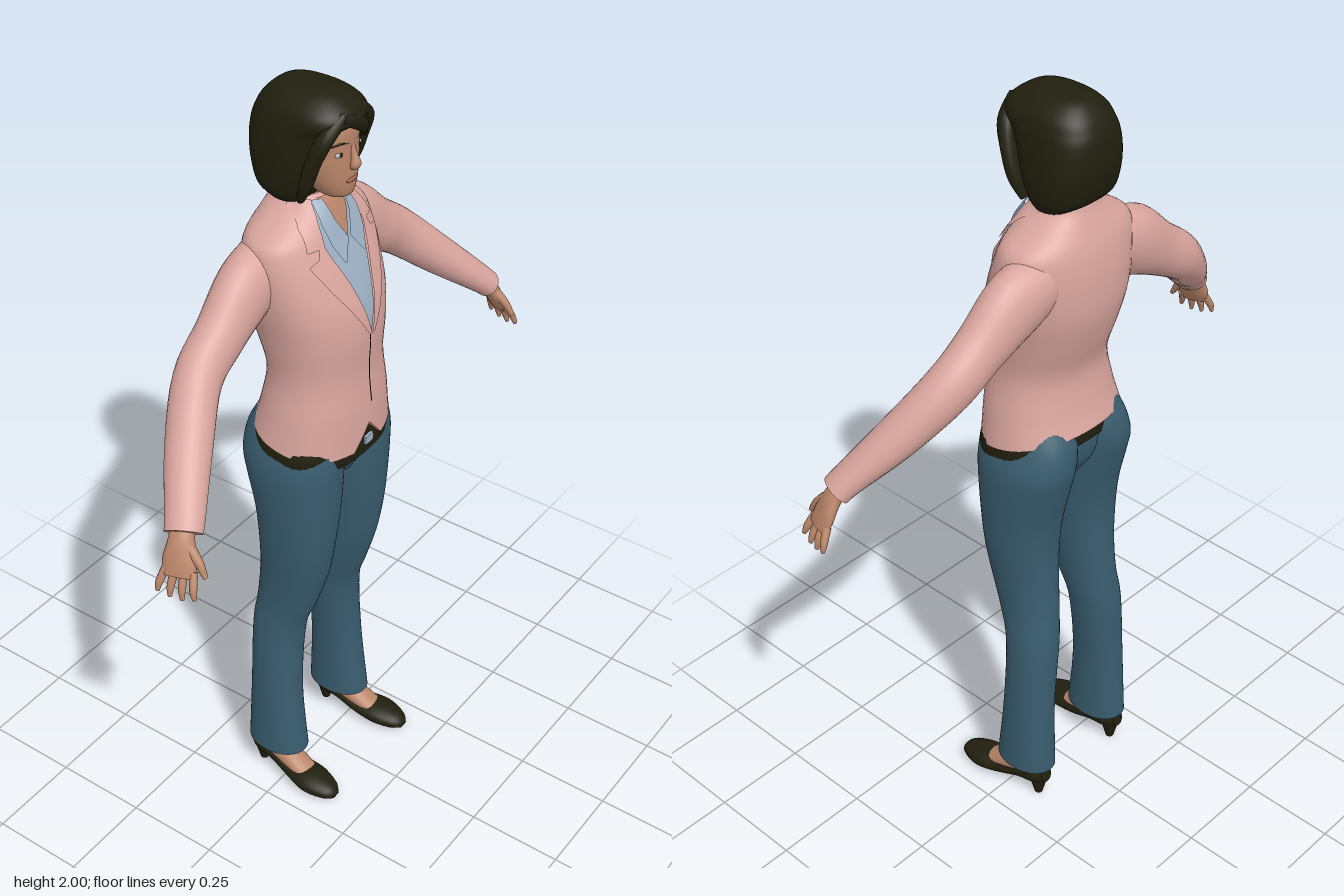
import * as THREE from 'three';

const mat = (name, color, side = THREE.FrontSide) => {
  const m = new THREE.MeshStandardMaterial({ color, side });
  m.name = name;
  return m;
};
const V = (x, y, z) => new THREE.Vector3(x, y, z);

// Catmull-Rom interpolation of every column in a table of cross-sections
function smooth(rows, k = 5) {
  const out = [], last = rows.length - 1;
  for (let i = 0; i < last; i++) {
    const a = rows[Math.max(i - 1, 0)], b = rows[i], c = rows[i + 1], d = rows[Math.min(i + 2, last)];
    for (let j = 0; j < k; j++) {
      const t = j / k;
      out.push(b.map((p, n) => {
        const cubic = 3 * (p - c[n]) + d[n] - a[n];
        const square = 2 * a[n] - 5 * p + 4 * c[n] - d[n];
        return p + 0.5 * t * (c[n] - a[n] + t * (square + t * cubic));
      }));
    }
  }
  out.push(rows[last]);
  return out;
}

// Skin closed rings of points into a capped, smooth surface
function skin(rings) {
  const n = rings[0].length, pos = [], idx = [];
  rings.forEach(r => r.forEach(p => pos.push(p.x, p.y, p.z)));
  for (let i = 0; i < rings.length - 1; i++) {
    for (let j = 0; j < n; j++) {
      const a = i * n + j, b = i * n + (j + 1) % n;
      idx.push(a, b, a + n, b, b + n, a + n);
    }
  }
  [rings[0], rings[rings.length - 1]].forEach((r, end) => {
    const base = pos.length / 3, c = V(0, 0, 0);
    r.forEach(p => { pos.push(p.x, p.y, p.z); c.addScaledVector(p, 1 / n); });
    pos.push(c.x, c.y, c.z);
    for (let j = 0; j < n; j++) {
      const a = base + j, b = base + (j + 1) % n;
      idx.push(base + n, end ? a : b, end ? b : a);
    }
  });
  return surface(pos, idx);
}

function surface(pos, idx) {
  const g = new THREE.BufferGeometry();
  g.setAttribute('position', new THREE.Float32BufferAttribute(pos, 3));
  g.setIndex(idx);
  g.computeVertexNormals();
  return g;
}

// Upright body from rows [y, centreX, halfWidth, frontZ, backZ]; e squares off the section
function body(rows, e = 2, move = p => p, n = 48) {
  const sp = v => Math.sign(v) * Math.abs(v) ** (2 / e);
  return skin(smooth(rows).map(([y, cx, rx, zf, zb]) => Array.from({ length: n }, (_, j) => {
    const a = j / n * Math.PI * 2;
    return move(V(cx + rx * sp(Math.sin(a)), y, (zf + zb) / 2 + (zf - zb) / 2 * sp(Math.cos(a))));
  })));
}

// Limb along a path of [x, y, z, thickness radius, sideways radius]; s mirrors it in x
function limb(rows, s = 1, n = 20) {
  const pts = smooth(rows), end = pts.length - 1, at = i => V(pts[i][0] * s, pts[i][1], pts[i][2]);
  const steep = Math.abs(at(end).sub(at(0)).normalize().y) > 0.9;
  return skin(pts.map((p, i) => {
    const T = at(Math.min(i + 1, end)).sub(at(Math.max(i - 1, 0))).normalize();
    const H = (steep ? V(0, 0, 1) : V(0, 1, 0)).cross(T).normalize();
    const U = T.clone().cross(H);
    return Array.from({ length: n }, (_, j) => {
      const a = j / n * Math.PI * 2;
      return at(i).addScaledVector(H, Math.cos(a) * p[4]).addScaledVector(U, Math.sin(a) * p[3]);
    });
  }));
}

const TORSO = [
  [1.12, 0, 0.188, 0.142, -0.138], [1.2, 0, 0.173, 0.139, -0.122], [1.3, 0, 0.156, 0.132, -0.108],
  [1.4, 0, 0.166, 0.137, -0.138], [1.48, 0, 0.18, 0.128, -0.158], [1.56, 0, 0.19, 0.1, -0.16],
  [1.62, 0, 0.19, 0.073, -0.153], [1.66, 0, 0.175, 0.056, -0.143], [1.695, 0, 0.122, 0.042, -0.13],
  [1.725, 0, 0.08, 0.028, -0.118], [1.745, 0, 0.068, 0.015, -0.112]];
const TORSO_FINE = smooth(TORSO), TORSO_E = 2.2;

// Depth of the chest at a given x, y
function chestZ(x, y) {
  const i = TORSO_FINE.findIndex(r => r[0] >= y), a = TORSO_FINE[i - 1], b = TORSO_FINE[i];
  const t = (y - a[0]) / (b[0] - a[0]);
  const [, , rx, zf, zb] = a.map((v, n) => v + (b[n] - v) * t);
  const q = (1 - Math.min(1, Math.abs(x) / rx) ** TORSO_E) ** (1 / TORSO_E);
  return (zf + zb) / 2 + (zf - zb) / 2 * q;
}

// Cloth panel lying on the chest, from rows [y, innerX, outerX] running downwards
function panel(rows, lift, s = 1, nx = 8, ny = 8) {
  const pos = [], idx = [];
  let r = 0;
  for (let i = 0; i < rows.length - 1; i++) {
    for (let j = i ? 1 : 0; j <= ny; j++, r++) {
      const [y, x0, x1] = rows[i].map((v, n) => v + (rows[i + 1][n] - v) * j / ny);
      for (let k = 0; k <= nx; k++) {
        const x = s * (x0 + (x1 - x0) * k / nx);
        pos.push(x, y, chestZ(x, y) + lift);
        if (r && k) {
          const d = r * (nx + 1) + k, c = d - 1, b = d - nx - 1, a = b - 1;
          idx.push(...(s > 0 ? [a, c, b, b, c, d] : [a, b, c, b, d, c]));
        }
      }
    }
  }
  return surface(pos, idx);
}

export function createModel() {
  const model = new THREE.Group();
  const jacket = mat('jacket pink', 0xd9a59e, THREE.DoubleSide), denim = mat('trouser blue', 0x395c6e);
  const dark = mat('dark brown', 0x211f0e, THREE.DoubleSide), flesh = mat('skin', 0xba8669, THREE.DoubleSide);
  const cloth = mat('shirt blue', 0x9cafc2, THREE.DoubleSide);
  const lip = mat('lip', 0x9c5f50), white = mat('eye', 0xb9c0c4);
  const add = (name, geo, m) => {
    const o = new THREE.Mesh(geo, m);
    o.name = name;
    model.add(o);
    return o;
  };
  const blob = (name, m, x, y, z, sx, sy, sz) =>
    add(name, new THREE.SphereGeometry(1, 16, 12).scale(sx, sy, sz), m).position.set(x, y, z);

  // Jacket, with a hem that is cut away at the centre front
  add('jacketBody', body(TORSO, TORSO_E, p => {
    const t = THREE.MathUtils.clamp((1.2 - p.y) / 0.08, 0, 1);
    const notch = p.z > 0.05 ? 0.065 * Math.max(0, 1 - Math.abs(p.x) / 0.055) : 0;
    p.y += t * (notch - p.z * 0.22);
    return p;
  }), jacket);
  add('jacketSeam', panel([[1.41, -0.001, 0.003], [1.21, 0.006, 0.01]], 0.003), dark);
  add('shirtFront', panel([[1.735, -0.055, 0.055], [1.66, -0.076, 0.076], [1.55, -0.042, 0.042], [1.41, -0.001, 0.003]], 0.004, 1, 20), cloth);
  add('throat', panel([[1.74, -0.04, 0.04], [1.7, -0.034, 0.034], [1.635, -0.001, 0.001]], 0.007, 1, 12), flesh);

  // Trouser seat and belt
  add('trouserSeat', body([[0.99, 0, 0.05, 0.085, -0.08], [1.05, 0, 0.12, 0.115, -0.115],
    [1.12, 0, 0.16, 0.125, -0.122], [1.18, 0, 0.15, 0.115, -0.1]]), denim);
  add('belt', body([[1.085, 0, 0.189, 0.131, -0.125], [1.125, 0, 0.185, 0.134, -0.125], [1.165, 0, 0.165, 0.128, -0.1]], 2.5,
    p => { p.y -= p.z * 0.2; return p; }), dark);
  add('buckle', new THREE.BoxGeometry(0.03, 0.022, 0.008), cloth).position.set(0.005, 1.1, 0.136);

  for (const s of [1, -1]) {
    const side = s > 0 ? 'left' : 'right';
    // Collar, lapels and shirt collar
    add(side + 'Collar', panel([[1.74, 0.052, 0.072], [1.69, 0.068, 0.11], [1.645, 0.074, 0.122]], 0.009, s), jacket);
    add(side + 'Lapel', panel([[1.645, 0.074, 0.092], [1.625, 0.068, 0.1], [1.615, 0.065, 0.128], [1.55, 0.04, 0.096], [1.41, 0, 0.01]], 0.009, s), jacket);
    add(side + 'ShirtCollar', panel([[1.74, 0.036, 0.056], [1.69, 0.026, 0.066], [1.645, 0.004, 0.06], [1.6, 0.032, 0.04]], 0.016, s), cloth);

    // Sleeve
    add(side + 'Sleeve', limb([[0.12, 1.585, -0.07, 0.075, 0.065], [0.2, 1.552, -0.067, 0.086, 0.064], [0.3, 1.485, -0.062, 0.068, 0.057],
      [0.395, 1.42, -0.053, 0.06, 0.056], [0.5, 1.32, 0.002, 0.05, 0.054], [0.595, 1.228, 0.064, 0.037, 0.046],
      [0.622, 1.2, 0.08, 0.034, 0.044]], s, 28), jacket);

    // Hand: palm, four fingers and thumb
    add(side + 'Palm', limb([[0.6, 1.23, 0.064, 0.018, 0.028], [0.63, 1.19, 0.08, 0.02, 0.03], [0.65, 1.15, 0.09, 0.018, 0.04],
      [0.667, 1.115, 0.096, 0.013, 0.038]], s), flesh);
    for (let i = 0; i < 4; i++) {
      const f = i - 1.5, drop = Math.abs(i - 1.6) * 0.008;
      const x = 0.665 - f * 0.007, z = 0.095 + f * 0.02;
      add(side + 'Finger' + (i + 1), limb([[x - 0.006, 1.128, z, 0.01, 0.01], [x + 0.012, 1.09 + drop / 2, z + 0.003 + f * 0.006, 0.009, 0.009],
        [x + 0.018, 1.062 + drop, z + 0.006 + f * 0.009, 0.005, 0.005]], s, 10), flesh);
    }
    add(side + 'Thumb', limb([[0.63, 1.185, 0.095, 0.012, 0.014], [0.636, 1.15, 0.13, 0.011, 0.011],
      [0.64, 1.118, 0.152, 0.006, 0.006]], s, 10), flesh);

    // Trouser leg
    add(side + 'TrouserLeg', body([[0.1, 0.14, 0.061, 0.046, -0.125], [0.3, 0.135, 0.06, 0.024, -0.116], [0.5, 0.12, 0.065, 0.024, -0.115],
      [0.6, 0.109, 0.067, 0.055, -0.106], [0.7, 0.105, 0.075, 0.085, -0.098], [0.8, 0.105, 0.085, 0.102, -0.096],
      [0.9, 0.102, 0.094, 0.112, -0.106], [1, 0.1, 0.101, 0.118, -0.13], [1.06, 0.098, 0.1, 0.12, -0.143],
      [1.12, 0.087, 0.092, 0.118, -0.138], [1.17, 0.078, 0.08, 0.105, -0.115]].map(r => [r[0], r[1] * s, ...r.slice(2)]), 2.1), denim);

    // Foot and court shoe
    add(side + 'Foot', limb([[0.146, 0.14, -0.06, 0.035, 0.034], [0.147, 0.09, -0.04, 0.036, 0.034], [0.152, 0.055, 0.03, 0.024, 0.034],
      [0.157, 0.035, 0.08, 0.016, 0.032]], s), flesh);
    add(side + 'Shoe', limb([[0.162, 0.014, 0.165, 0.006, 0.012], [0.162, 0.021, 0.143, 0.02, 0.032], [0.16, 0.028, 0.09, 0.027, 0.047],
      [0.153, 0.036, 0.03, 0.024, 0.041], [0.148, 0.055, -0.03, 0.023, 0.035], [0.145, 0.071, -0.085, 0.03, 0.034],
      [0.145, 0.078, -0.115, 0.022, 0.018]], s), dark);
    add(side + 'Heel', new THREE.CylinderGeometry(0.026, 0.011, 0.06, 14), dark).position.set(0.145 * s, 0.03, -0.087);

    // Eye, brow and side lock of hair
    blob(side + 'Eye', white, 0.033 * s, 1.863, 0.073, 0.015, 0.007, 0.006);
    blob(side + 'Iris', dark, 0.033 * s, 1.863, 0.077, 0.006, 0.006, 0.004);
    add(side + 'Brow', limb([[0.014, 1.885, 0.083, 0.002, 0.003], [0.036, 1.89, 0.077, 0.003, 0.003], [0.055, 1.884, 0.062, 0.002, 0.003]], s, 8), dark);
    add(side + 'HairLock', limb([[0.03, 1.955, 0.083, 0.012, 0.014], [0.075, 1.915, 0.066, 0.02, 0.018], [0.09, 1.86, 0.045, 0.018, 0.02],
      [0.091, 1.8, 0.025, 0.016, 0.02], [0.082, 1.75, 0.005, 0.008, 0.012]], s, 14), dark);
  }

  // Neck, head and face
  add('neck', limb([[0, 1.62, -0.065, 0.056, 0.056], [0, 1.7, -0.047, 0.053, 0.053], [0, 1.79, -0.03, 0.05, 0.05]], 1, 24), flesh);
  add('head', body([[1.745, 0, 0.018, 0.066, 0.02], [1.753, 0, 0.036, 0.08, -0.005], [1.78, 0, 0.056, 0.086, -0.045],
    [1.82, 0, 0.072, 0.087, -0.08], [1.87, 0, 0.08, 0.086, -0.1], [1.92, 0, 0.08, 0.086, -0.11], [1.96, 0, 0.06, 0.06, -0.1]], 2.1), flesh);
  add('nose', limb([[0, 1.88, 0.078, 0.008, 0.007], [0, 1.85, 0.089, 0.009, 0.009], [0, 1.832, 0.093, 0.012, 0.014],
    [0, 1.823, 0.086, 0.007, 0.012]], 1, 14), flesh);
  blob('lips', lip, 0, 1.793, 0.084, 0.021, 0.007, 0.007);

  // Bobbed hair with a swept fringe
  add('hair', body([[1.735, 0, 0.088, 0, -0.1], [1.765, 0, 0.106, 0.018, -0.138], [1.82, 0, 0.111, 0.04, -0.156],
    [1.87, 0, 0.109, 0.054, -0.161], [1.91, 0, 0.104, 0.072, -0.158], [1.935, 0, 0.099, 0.099, -0.15],
    [1.96, 0, 0.088, 0.092, -0.136], [1.985, 0, 0.06, 0.06, -0.11], [1.997, 0, 0.03, 0.025, -0.08], [2, 0, 0.008, -0.015, -0.04]], 2.5), dark);
  add('fringe', limb([[-0.04, 1.95, 0.085, 0.01, 0.01], [0, 1.935, 0.093, 0.018, 0.012], [0.04, 1.91, 0.083, 0.019, 0.012],
    [0.075, 1.87, 0.058, 0.012, 0.012]], 1, 14), dark);
  return model;
}
